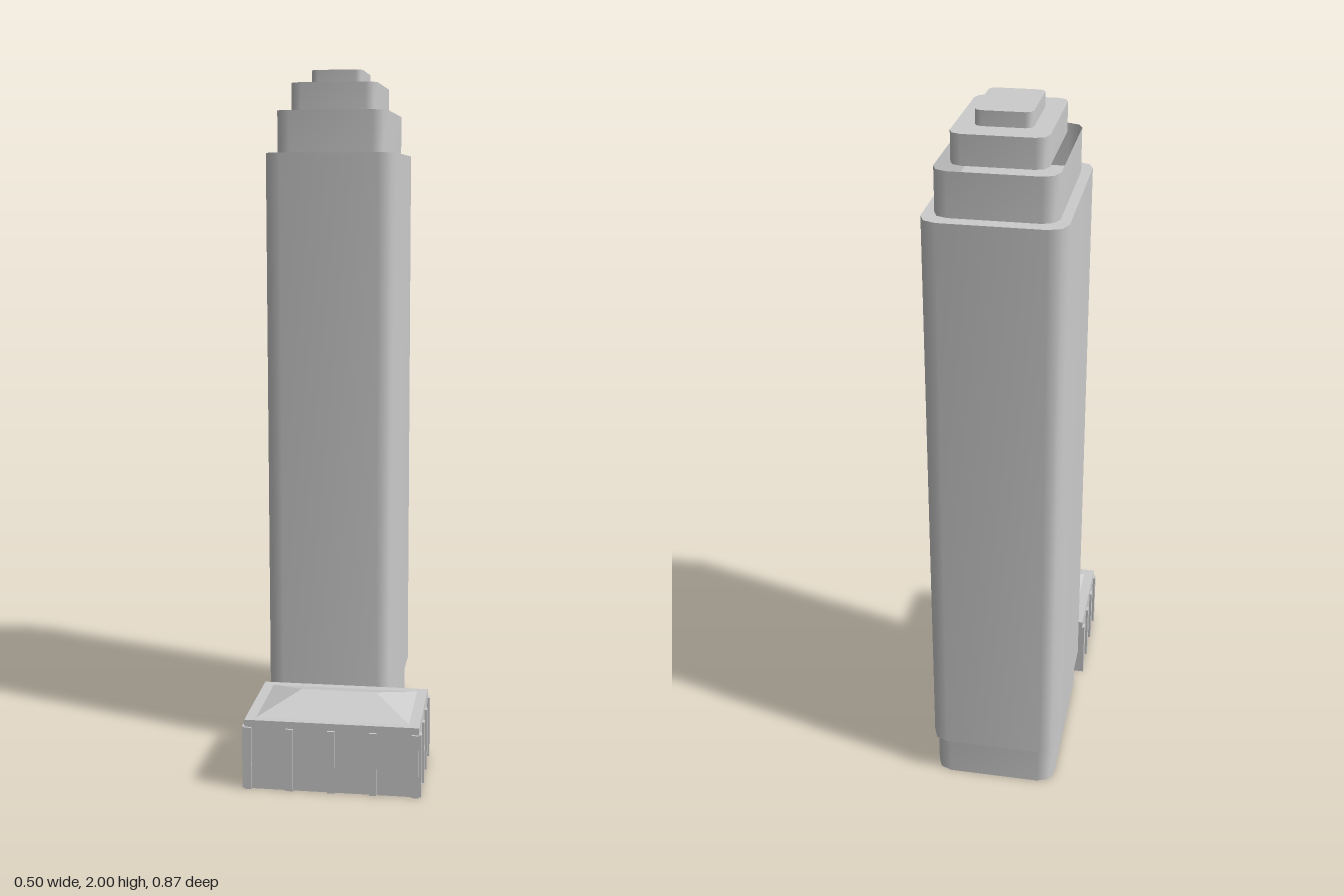
import * as THREE from 'three';

const CX = -0.05, CZ = -0.16; // tower axis

export function createModel() {
  const model = new THREE.Group();
  const concrete = new THREE.MeshStandardMaterial({ color: 0xcccccc, side: THREE.DoubleSide });
  concrete.name = 'pale grey concrete';

  const add = (name, geometry, x = 0, y = 0, z = 0, parent = model) => {
    const mesh = new THREE.Mesh(geometry, concrete);
    mesh.name = name;
    mesh.position.set(x, y, z);
    parent.add(mesh);
    return mesh;
  };

  // Rectangle with two-segment rounded corners
  const ring = (w, d) => {
    const r = 0.128 * w, pts = [];
    [[1, 1, 0], [-1, 1, 1], [-1, -1, 2], [1, -1, 3]].forEach(([sx, sz, q]) => {
      for (let i = 0; i <= 2; i++) {
        const a = (q + i / 2) * Math.PI / 2;
        pts.push([sx * (w / 2 - r) + r * Math.cos(a), sz * (d / 2 - r) + r * Math.sin(a)]);
      }
    });
    return pts;
  };

  // Smooth wall around a ring
  const wall = (w, d, h) => {
    const pts = ring(w, d), n = pts.length, pos = [], idx = [];
    pts.forEach(([x, z]) => pos.push(x, 0, z, x, h, z));
    for (let i = 0; i < n; i++) {
      const a = 2 * i, b = 2 * ((i + 1) % n);
      idx.push(a, a + 1, b, b, a + 1, b + 1);
    }
    const g = new THREE.BufferGeometry();
    g.setAttribute('position', new THREE.Float32BufferAttribute(pos, 3));
    g.setIndex(idx);
    g.computeVertexNormals();
    return g;
  };

  // Flat slab closing a ring
  const cap = (w, d, up = true) => {
    const shape = new THREE.Shape(ring(w, d).map(([x, z]) => new THREE.Vector2(x, z)));
    return new THREE.ShapeGeometry(shape).rotateX(up ? -Math.PI / 2 : Math.PI / 2);
  };

  // Tower: recessed base, shaft, open parapet and two stepped crown tiers
  [
    ['towerBase', 0.356, 0.53, 0, 0.12, false],
    ['towerShaft', 0.376, 0.55, 0.12, 1.76, true],
    ['parapet', 0.32, 0.47, 1.76, 1.88, false],
    ['lowerCrown', 0.251, 0.372, 1.88, 1.96, true],
    ['upperCrown', 0.149, 0.22, 1.96, 2, true],
  ].forEach(([name, w, d, y0, y1, closed]) => {
    add(name + 'Wall', wall(w, d, y1 - y0), CX, y0, CZ);
    if (closed) add(name + 'Roof', cap(w, d), CX, y1, CZ);
  });
  add('shaftFloor', cap(0.376, 0.55, false), CX, 0.12, CZ);

  // Entrance hall, open underneath
  const hall = new THREE.Group();
  hall.name = 'entranceHall';
  hall.position.z = 0.275;
  model.add(hall);
  const W = 0.488, D = 0.308, H = 0.2;
  const box = new THREE.BoxGeometry(W, H, D);
  const index = Array.from(box.index.array);
  index.splice(18, 6); // drop the bottom face
  box.setIndex(index);
  box.clearGroups();
  add('hallWalls', box, 0, H / 2, 0, hall);

  // Pilasters along the front and both sides
  const ph = 0.18, pw = 0.02, pt = 0.014;
  for (let i = 0; i < 5; i++) {
    add('frontPilaster', new THREE.BoxGeometry(pw, ph, pt),
      (i / 4 - 0.5) * (W - pw), ph / 2, D / 2, hall);
  }
  for (const s of [-1, 1]) for (let i = 0; i < 4; i++) {
    add('sidePilaster', new THREE.BoxGeometry(pt, ph, pw),
      s * W / 2, ph / 2, (i / 3 - 0.5) * (D - pw), hall);
  }

  // Hipped roof: a box whose top is squeezed to a ridge
  const roof = new THREE.BoxGeometry(0.428, 0.04, 0.26);
  const p = roof.attributes.position;
  for (let i = 0; i < p.count; i++) {
    if (p.getY(i) > 0) {
      p.setX(i, Math.sign(p.getX(i)) * 0.107);
      p.setZ(i, 0);
    }
  }
  // keep only the four slopes
  const ri = Array.from(roof.index.array);
  ri.splice(12, 12);
  roof.setIndex(ri);
  roof.clearGroups();
  const slopes = roof.toNonIndexed();
  slopes.computeVertexNormals();
  // the ridge leaves one empty triangle on each hip, which is dropped
  const keep = [], q = slopes.attributes.position, t = new THREE.Triangle();
  for (let i = 0; i < q.count; i += 3) {
    t.setFromAttributeAndIndices(q, i, i + 1, i + 2);
    if (t.getArea() > 1e-6) keep.push(i, i + 1, i + 2);
  }
  slopes.setIndex(keep);
  add('hippedRoof', slopes, 0, H + 0.02, 0, hall);

  return model;
}
